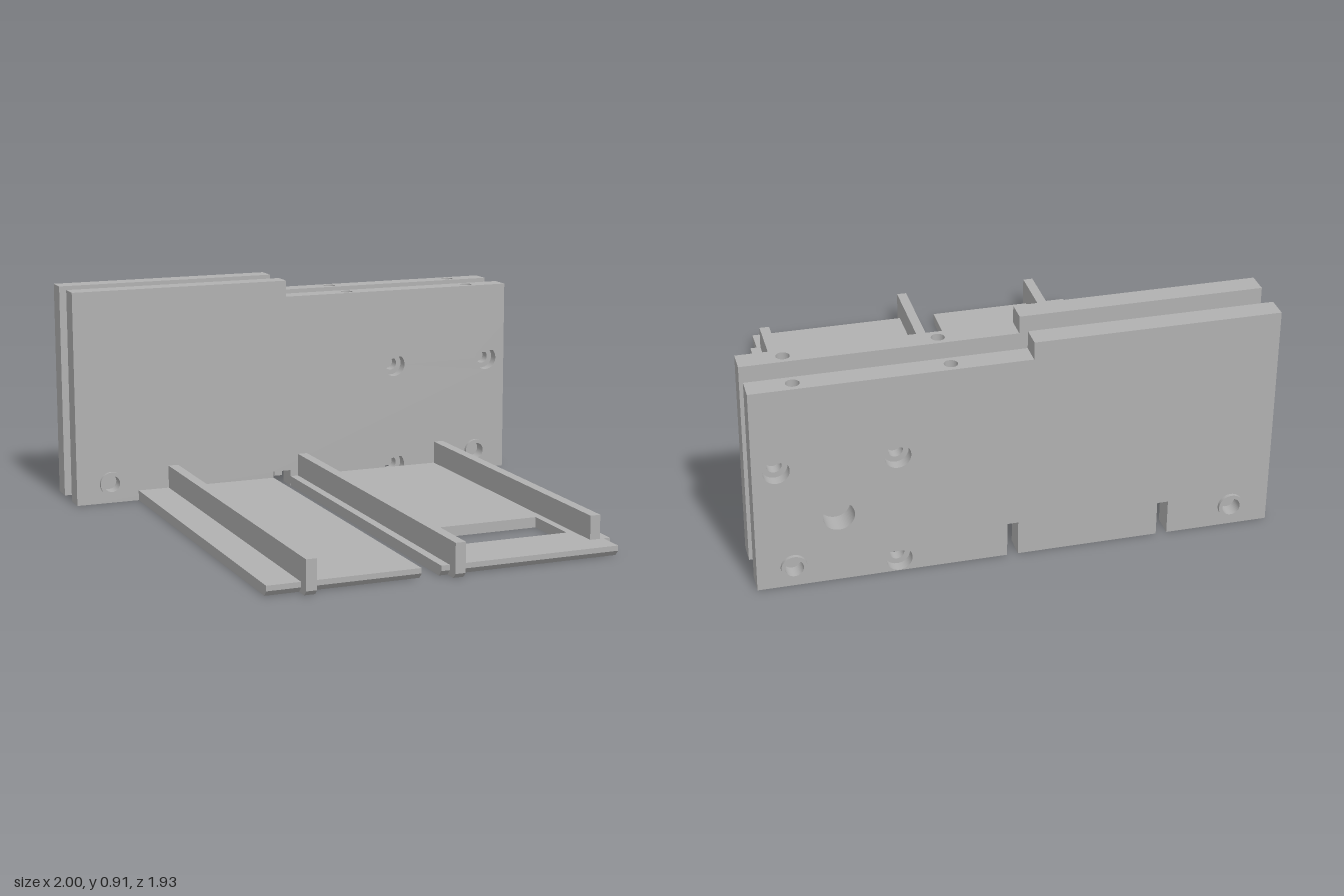
import * as THREE from 'three';

const grey = new THREE.MeshStandardMaterial({ color: 0xb0b0b0 });
grey.name = 'plain grey';

function add(parent, name, geometry, x = 0, y = 0, z = 0) {
  const mesh = new THREE.Mesh(geometry, grey);
  mesh.name = name;
  mesh.position.set(x, y, z);
  parent.add(mesh);
  return mesh;
}

const polygon = (pts) => new THREE.Shape(pts.map(([x, y]) => new THREE.Vector2(x, y)));
const rectangle = (x0, x1, y0, y1) => polygon([[x0, y0], [x1, y0], [x1, y1], [x0, y1]]);
const extrude = (shape, depth) =>
  new THREE.ExtrudeGeometry(shape, { depth, bevelEnabled: false, curveSegments: 24 });

function circle(x, y, r) {
  const path = new THREE.Path();
  path.absarc(x, y, r, 0, Math.PI * 2, true);
  return path;
}

// Round hole with a pointed roof
function teardrop(x, y, r) {
  const path = new THREE.Path();
  path.moveTo(x, y + r * Math.SQRT2);
  path.absarc(x, y, r, Math.PI / 4, Math.PI * 0.75, true);
  path.closePath();
  return path;
}

const screwHoles = [[0.46, 0.505], [0.91, 0.505], [0.46, 0.052]];
const pegs = [[-0.85, 0.085], [0.86, 0.085]];

// Wall outline with rectangular notches [x0, x1, height] along the bottom
function wallOutline(notches) {
  const pts = [[-1, 0]];
  for (const [x0, x1, h] of notches) pts.push([x0, 0], [x0, h], [x1, h], [x1, 0]);
  pts.push([1, 0], [1, 0.66], [-0.05, 0.66], [-0.05, 0.91], [-1, 0.91]);
  return polygon(pts);
}

// Wall in two layers so that screw holes are counterbored; outer face looks to +z
function buildWall(name, thickness, outerNotches, innerNotches, bigHole) {
  const wall = new THREE.Group();
  wall.name = name;
  const half = thickness / 2;
  const inner = wallOutline(innerNotches);
  const outer = wallOutline(outerNotches);
  for (const [x, y] of screwHoles) {
    inner.holes.push(teardrop(x, y, 0.028));
    outer.holes.push(teardrop(x, y, 0.05));
  }
  for (const [x, y] of pegs) outer.holes.push(circle(x, y, 0.035));
  if (bigHole) for (const s of [inner, outer]) s.holes.push(teardrop(0.685, 0.28, 0.06));
  return { wall, inner, outer, half };
}

function finishWall({ wall, inner, outer, half }, z, facing) {
  add(wall, 'innerLayer', extrude(inner, half), 0, 0, facing > 0 ? z - half : z);
  add(wall, 'outerLayer', extrude(outer, half), 0, 0, facing > 0 ? z : z - half);

  // Lower top edge with vertical bores
  const strip = rectangle(-0.05, 1, -half, half);
  for (const x of [0.25, 0.83]) strip.holes.push(circle(x, 0, 0.026));
  const top = add(wall, 'boredTopEdge', extrude(strip, 0.18), 0, 0.66, z);
  top.rotation.x = -Math.PI / 2;

  // Raised collars around the peg sockets
  for (const [x, y] of pegs) {
    const ring = new THREE.Shape().absarc(x, y, 0.05, 0, Math.PI * 2, false);
    ring.holes.push(circle(x, y, 0.035));
    add(wall, 'pegCollar', extrude(ring, 0.014), 0, 0, facing > 0 ? z + half : z - half - 0.014);
  }
  return wall;
}

// Solid with a (z, y) side profile, running from x0 to x1
function sideProfile(parent, name, pts, x0, x1) {
  const mesh = add(parent, name, extrude(polygon(pts.map(([z, y]) => [-z, y])), x1 - x0), x0);
  mesh.rotation.y = Math.PI / 2;
  return mesh;
}

export function createModel() {
  const model = new THREE.Group();
  model.name = 'twinWallBracket';

  // Walls
  const cable = [-0.115, -0.035, 0.07];
  const slots = [[-0.595, -0.552, 0.14], [0, 0.042, 0.14]];
  model.add(finishWall(buildWall('frontWall', 0.088, [cable], [cable], false), -0.705, 1));
  model.add(finishWall(
    buildWall('rearWall', 0.088, slots, [slots[0], cable, slots[1]], true), -0.908, -1));

  // Floor panels, chamfered under the front edge
  const back = -0.66, top = 0.043, front = 0.915;
  const lip = (z0) => [[z0, 0], [front - 0.02, 0], [front, 0.022], [front, top], [z0, top]];
  const floor = new THREE.Group();
  floor.name = 'floor';
  model.add(floor);
  sideProfile(floor, 'leftPanel', lip(back), -0.73, -0.115);
  sideProfile(floor, 'rightPanelFront', lip(0.8), -0.035, 0.717);
  const plate = rectangle(-0.035, 0.745, -0.8, -back);
  plate.holes.push(rectangle(0.1, 0.625, -0.665, -0.4));
  add(floor, 'rightPanel', extrude(plate, top)).rotation.x = -Math.PI / 2;

  // Ribs
  const rib = [[back, 0], [0.945, 0], [0.965, 0.02], [0.965, 0.14], [back, 0.14]];
  sideProfile(model, 'leftRib', rib, -0.595, -0.552);
  sideProfile(model, 'middleRib', rib, 0, 0.042);
  sideProfile(model, 'rightRib', [[back, 0.02], [0.8, 0.02], [0.8, 0.14], [back, 0.14]], 0.657, 0.7);

  return model;
}
